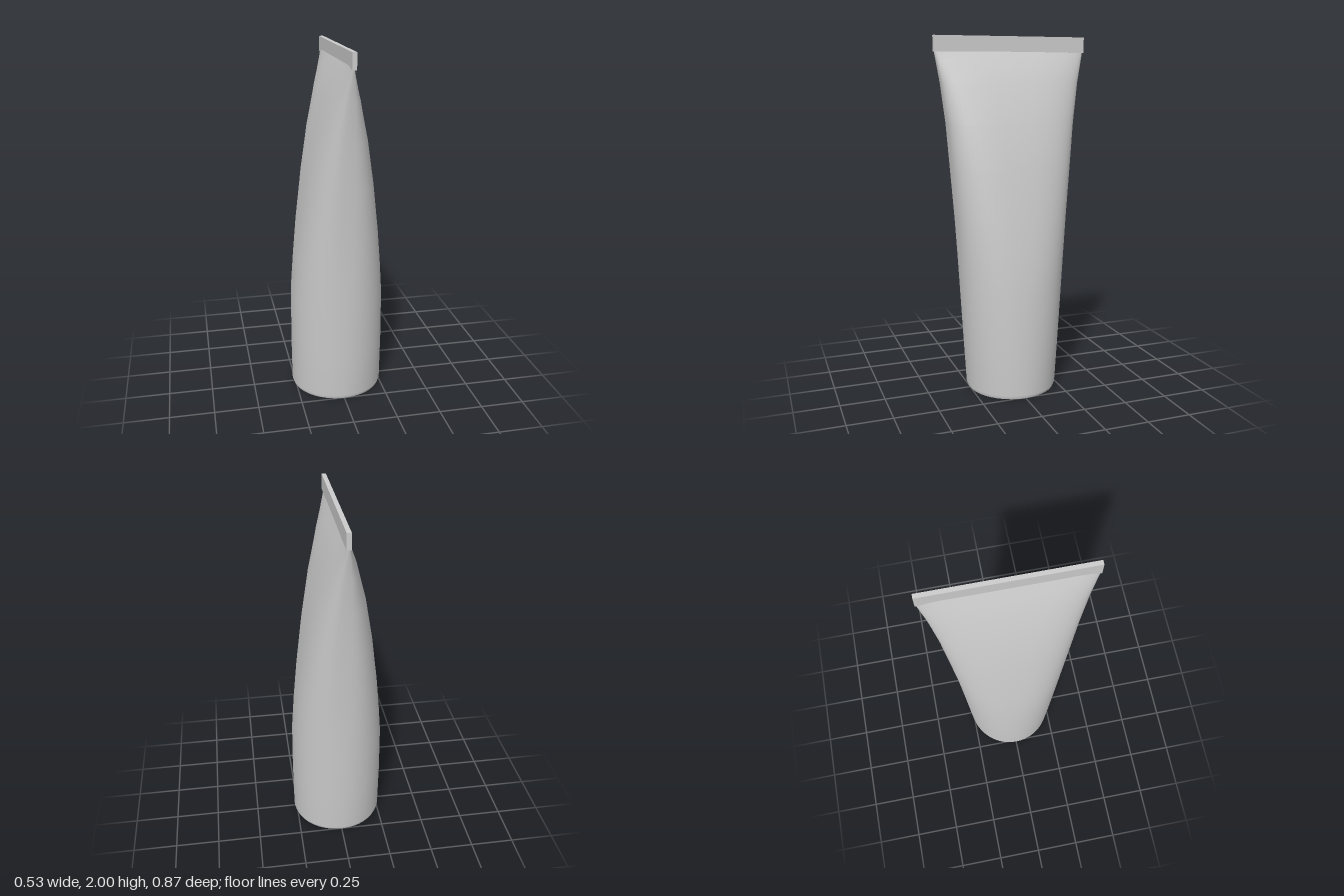
import * as THREE from 'three';

// [height, half width x, half depth z, squareness of the outline]
const SECTIONS = [
  [0.0, 0.258, 0.252, 2.0],
  [0.02, 0.265, 0.26, 2.0],
  [0.3, 0.266, 0.276, 2.1],
  [0.6, 0.261, 0.293, 2.2],
  [0.8, 0.243, 0.304, 2.4],
  [1.0, 0.221, 0.317, 2.6],
  [1.28, 0.182, 0.342, 2.8],
  [1.53, 0.136, 0.366, 3.0],
  [1.75, 0.077, 0.398, 3.2],
  [1.86, 0.037, 0.42, 3.4],
  [1.93, 0.01, 0.434, 3.6],
];
const SIDES = 56;

function sectionPoint([y, rx, rz, n], angle) {
  const c = Math.cos(angle), s = Math.sin(angle);
  const bend = (v) => Math.sign(v) * Math.pow(Math.abs(v), 2 / n);
  return [rx * bend(c), y, rz * bend(s)];
}

// Loft from the round base to the flat crimp
function tubeGeometry() {
  const positions = [], indices = [];
  for (const section of SECTIONS) {
    for (let i = 0; i < SIDES; i++) {
      positions.push(...sectionPoint(section, (i / SIDES) * Math.PI * 2));
    }
  }
  for (let r = 0; r < SECTIONS.length - 1; r++) {
    for (let i = 0; i < SIDES; i++) {
      const j = (i + 1) % SIDES;
      const a = r * SIDES + i, b = r * SIDES + j;
      indices.push(a, a + SIDES, b, b, a + SIDES, b + SIDES);
    }
  }
  const geometry = new THREE.BufferGeometry();
  geometry.setAttribute('position', new THREE.Float32BufferAttribute(positions, 3));
  geometry.setIndex(indices);
  geometry.computeVertexNormals();
  return geometry;
}

export function createModel() {
  const group = new THREE.Group();
  const material = new THREE.MeshStandardMaterial({ color: 0xcccccc });
  const add = (name, geometry) => {
    const mesh = new THREE.Mesh(geometry, material);
    mesh.name = name;
    group.add(mesh);
    return mesh;
  };

  add('tubeBody', tubeGeometry());

  // Flat base, facing down
  const base = add('baseCap', new THREE.CircleGeometry(1, SIDES));
  base.rotation.x = Math.PI / 2;
  base.scale.set(SECTIONS[0][1], SECTIONS[0][2], 1);

  // Crimped seal along the top edge
  const seal = add('crimpedSeal', new THREE.BoxGeometry(0.024, 0.085, 0.87));
  seal.position.set(0.003, 1.9575, 0);

  return group;
}
